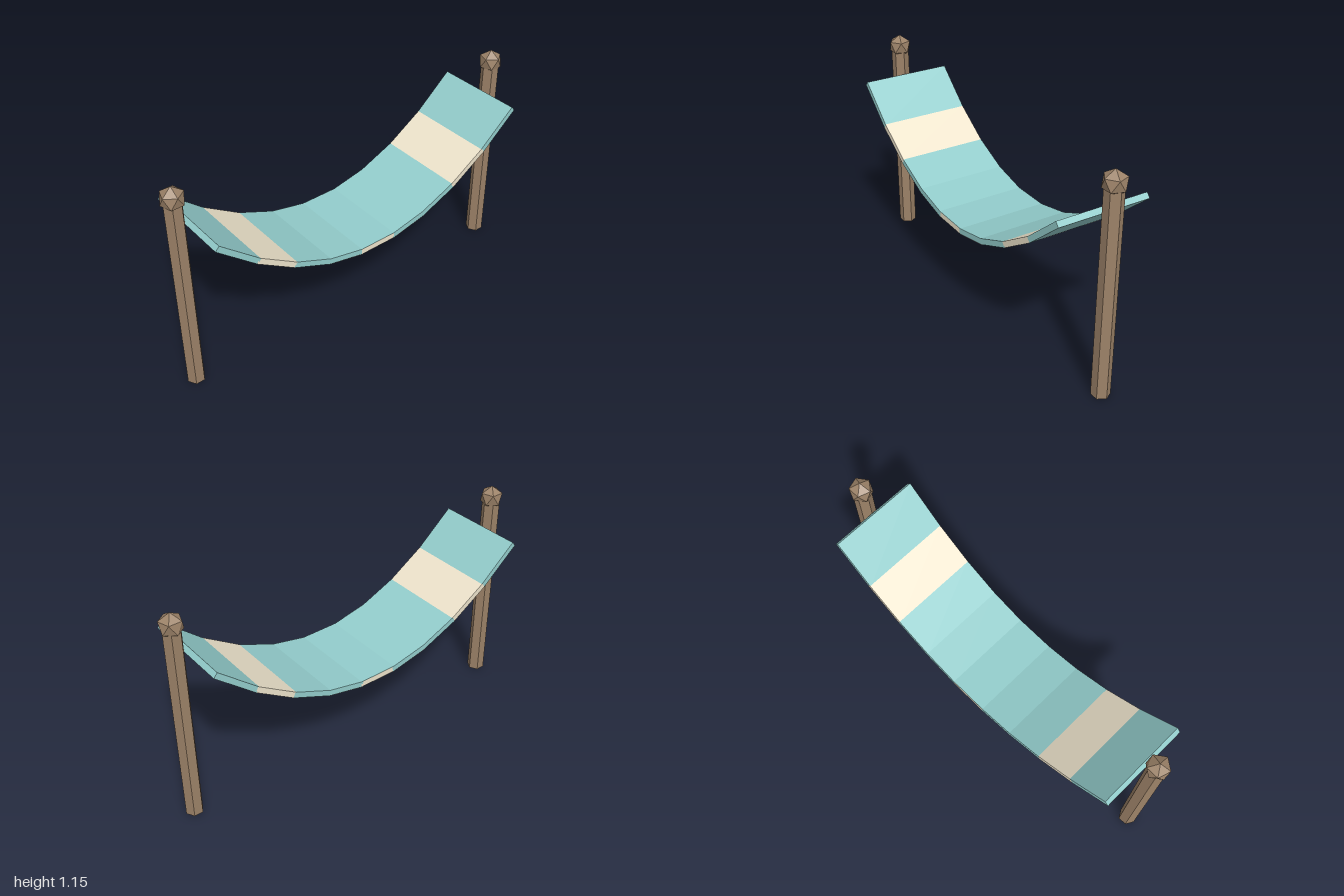
import * as THREE from 'three';

const material = (color) => new THREE.MeshStandardMaterial({ color, flatShading: true });

export function createModel() {
  const model = new THREE.Group();
  model.name = 'hammock';
  const wood = material(0x9c8268);
  const teal = material(0x93cdcc);
  const cream = material(0xeee4cc);

  const add = (parent, name, geometry, mat, x, y, z) => {
    const mesh = new THREE.Mesh(geometry, mat);
    mesh.name = name;
    mesh.position.set(x, y, z);
    parent.add(mesh);
    return mesh;
  };

  // Two hexagonal posts, each with a faceted knob standing on one corner
  const postHeight = 1.06;
  const knobTilt = -Math.atan(2 / (1 + Math.sqrt(5)));
  for (const [side, s] of [['front', 1], ['back', -1]]) {
    add(model, side + 'Post', new THREE.CylinderGeometry(0.046, 0.046, postHeight, 6), wood,
      0, postHeight / 2, s * 0.947);
    add(model, side + 'Knob', new THREE.IcosahedronGeometry(0.0615), wood,
      0, 1.0875, s * 0.947).rotation.z = knobTilt;
  }

  // Sagging bed: nine flat panels following a parabola
  const count = 9, step = 0.197, width = 0.475, thick = 0.03;
  const sag = (z) => 0.5 + 0.548 * z * z;
  const bed = new THREE.Group();
  bed.name = 'bed';
  model.add(bed);
  for (let i = 0; i < count; i++) {
    const z0 = (i - count / 2) * step, z1 = z0 + step;
    const rise = sag(z1) - sag(z0);
    const length = Math.hypot(step, rise) + 0.008;
    const panel = new THREE.Group();
    panel.name = 'panel' + (i + 1);
    panel.position.set(0, (sag(z0) + sag(z1)) / 2, (z0 + z1) / 2);
    panel.rotation.x = -Math.atan2(rise, step);
    bed.add(panel);
    add(panel, 'cloth', new THREE.BoxGeometry(width, thick, length), i % 3 === 1 ? cream : teal, 0, 0, 0);

    // Thin facings: teal on top of the middle panel, cream under the middle three
    const facing = new THREE.BoxGeometry(width, 0.002, length);
    if (i === 4) add(panel, 'topFacing', facing, teal, 0, thick / 2, 0);
    if (Math.abs(i - 4) === 1) add(panel, 'underFacing', facing, cream, 0, -thick / 2, 0);
  }
  return model;
}
